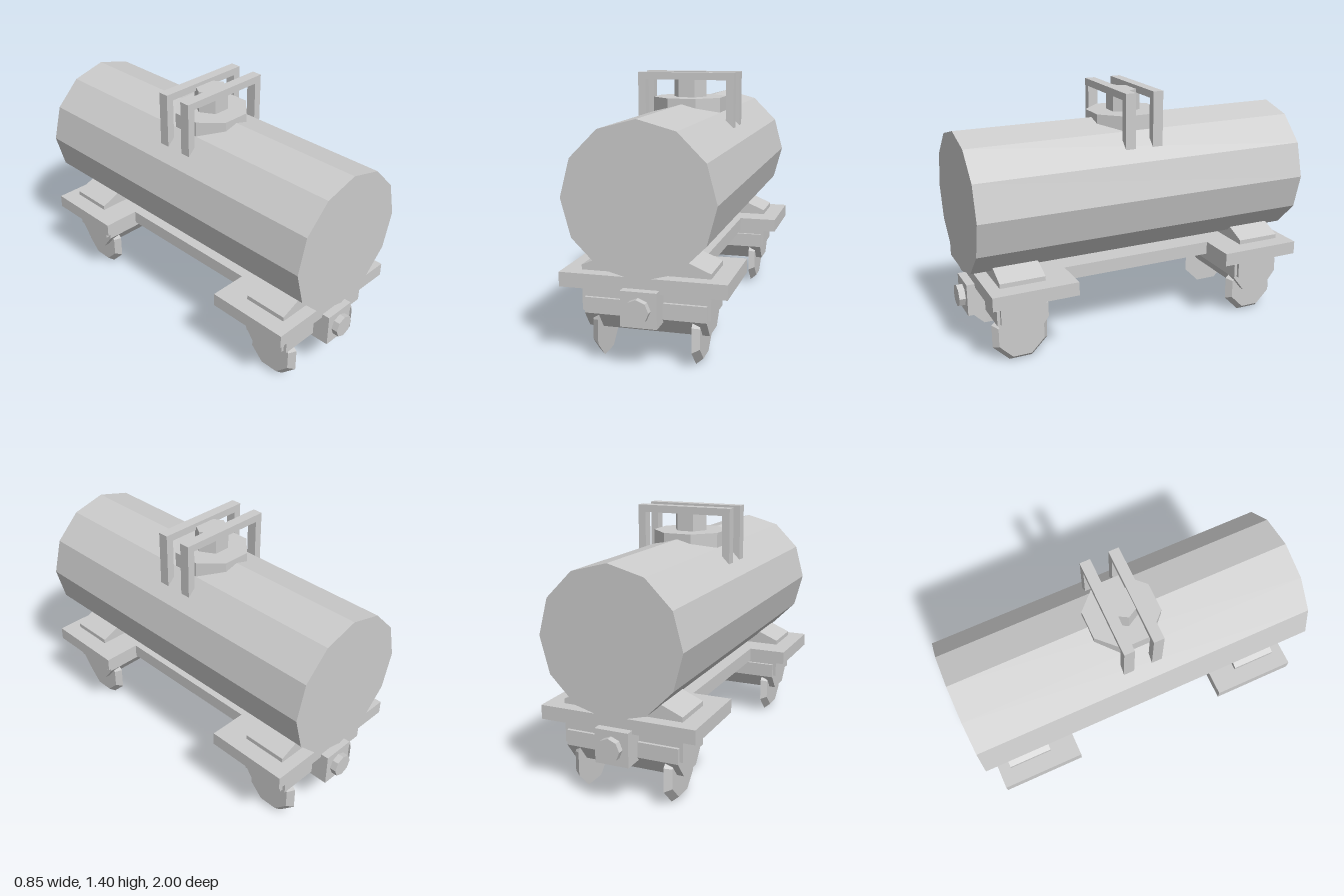
import * as THREE from 'three';

const material = new THREE.MeshStandardMaterial({ color: 0xcccccc, flatShading: true });

function add(parent, name, geometry, x = 0, y = 0, z = 0) {
  const mesh = new THREE.Mesh(geometry, material);
  mesh.name = name;
  mesh.position.set(x, y, z);
  parent.add(mesh);
  return mesh;
}

const box = (w, h, d) => new THREE.BoxGeometry(w, h, d);

// Extrudes an outline by depth, centred on z = 0
function prism(points, depth) {
  const shape = new THREE.Shape(points.map(([x, y]) => new THREE.Vector2(x, y)));
  return new THREE.ExtrudeGeometry(shape, { depth, bevelEnabled: false }).translate(0, 0, -depth / 2);
}

// One end of the wagon: saddle, bogie, wheels and coupler, facing +z
function createEnd() {
  const end = new THREE.Group();
  const z = 0.727;

  add(end, 'tankSaddle', prism([
    [-0.33, 0.46], [0.33, 0.46], [0.33, 0.49], [0.21, 0.54], [-0.21, 0.54], [-0.33, 0.49],
  ], 0.25), 0, 0, z);
  add(end, 'bogieBlock', box(0.66, 0.14, 0.25), 0, 0.325, z);

  // Axle housing with chamfered underside
  const housing = prism([
    [-0.142, 0.33], [-0.142, 0.248], [-0.075, 0.16], [0.075, 0.16], [0.142, 0.248], [0.142, 0.33],
  ], 0.625).rotateY(Math.PI / 2);
  add(end, 'axleHousing', housing, 0, 0, z);

  // Octagonal wheels, tapering outwards
  const k = 1 / Math.cos(Math.PI / 8);
  for (const side of [-1, 1]) {
    const wheel = new THREE.CylinderGeometry(0.127 * k, 0.155 * k, 0.035, 8)
      .rotateY(Math.PI / 8)
      .rotateZ(-side * Math.PI / 2);
    add(end, side > 0 ? 'leftWheel' : 'rightWheel', wheel, side * 0.2575, 0.158, z);
  }

  // Coupler block and stub
  add(end, 'couplerBlock', box(0.184, 0.18, 0.115), 0, 0.32, 0.9075);
  add(end, 'couplerStub', new THREE.CylinderGeometry(0.062, 0.062, 0.05, 8).rotateX(Math.PI / 2), 0, 0.32, 0.975);
  return end;
}

export function createModel() {
  const model = new THREE.Group();
  model.name = 'tankWagon';

  // Twelve-sided tank
  add(model, 'tank', new THREE.CylinderGeometry(0.385, 0.385, 1.93, 12).rotateX(Math.PI / 2), 0, 0.847, 0);

  // Deck: wide at both ends, narrow in the middle
  const w = 0.425, n = 0.21, l = 0.92, m = 0.45;
  const deck = prism([
    [-w, -l], [w, -l], [w, -m], [n, -m], [n, m], [w, m],
    [w, l], [-w, l], [-w, m], [-n, m], [-n, -m], [-w, -m],
  ], 0.075).rotateX(Math.PI / 2);
  add(model, 'deck', deck, 0, 0.4275, 0);

  // Bogies at both ends
  for (const name of ['frontEnd', 'backEnd']) {
    const end = createEnd();
    end.name = name;
    if (name === 'backEnd') end.rotation.y = Math.PI;
    model.add(end);
  }

  // Filling hatch
  add(model, 'hatchBase', new THREE.CylinderGeometry(0.206, 0.206, 0.1, 8).rotateY(Math.PI / 8), 0, 1.212, 0);
  add(model, 'hatchCap', new THREE.CylinderGeometry(0.093, 0.093, 0.14, 6).rotateY(Math.PI / 2), 0, 1.31, 0);

  // Guard hoops straddling the hatch
  const hoop = [
    [-0.273, 1.1], [-0.23, 1.1], [-0.23, 1.36], [0.23, 1.36],
    [0.23, 1.1], [0.273, 1.1], [0.273, 1.4], [-0.273, 1.4],
  ];
  add(model, 'frontHoop', prism(hoop, 0.058), 0, 0, 0.08);
  add(model, 'backHoop', prism(hoop, 0.058), 0, 0, -0.08);

  return model;
}
